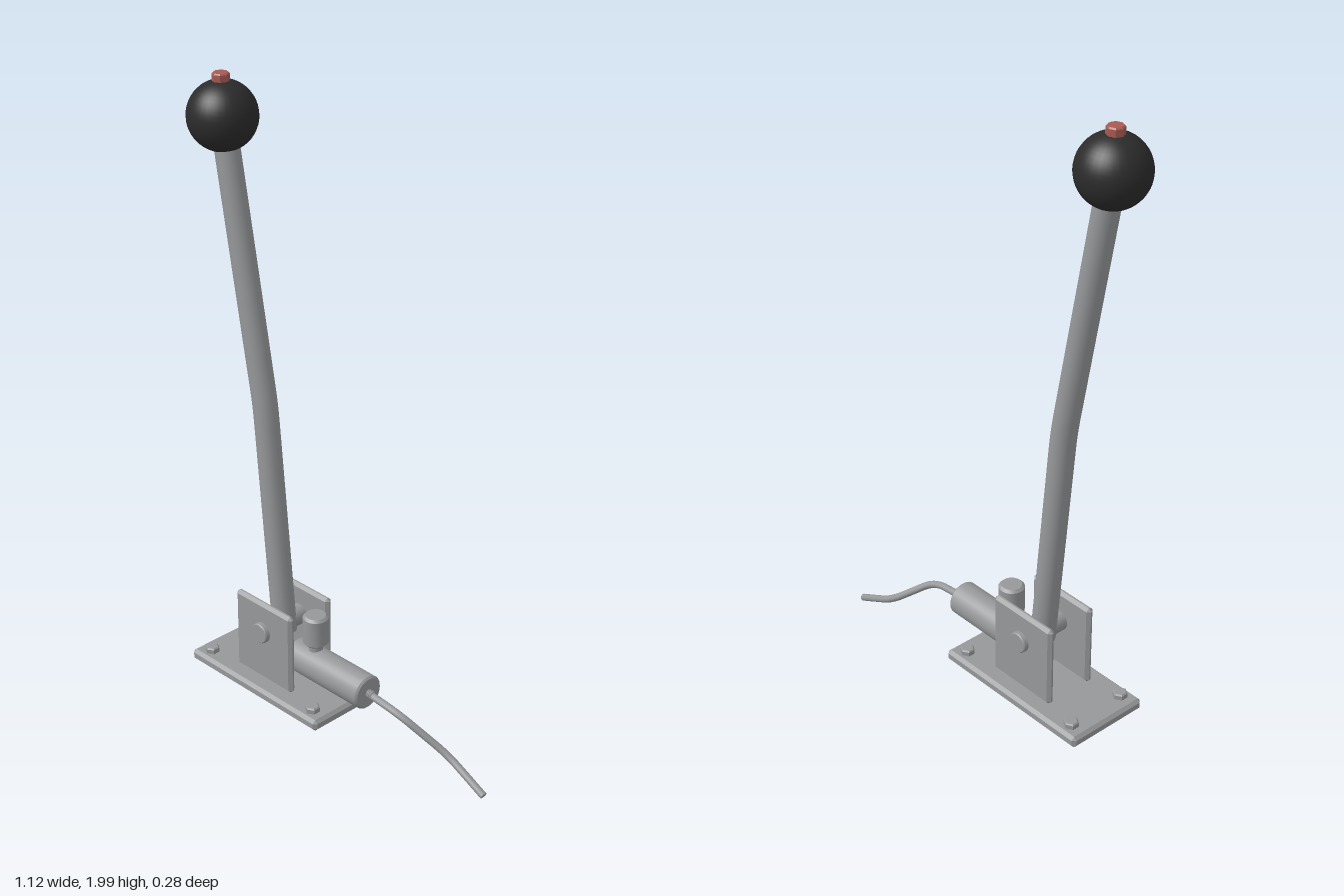
import * as THREE from 'three';
import { toCreasedNormals } from 'three/addons/utils/BufferGeometryUtils.js';
import { ConvexGeometry } from 'three/addons/geometries/ConvexGeometry.js';

const steel = new THREE.MeshStandardMaterial({ name: 'steel grey', color: 0x96989a });
const black = new THREE.MeshStandardMaterial({ name: 'knob black', color: 0x2b2b2b });
const red = new THREE.MeshStandardMaterial({ name: 'button red', color: 0xa85a52 });

// Box with every edge chamfered by c
function chamferBox(w, h, d, c) {
  const points = [];
  for (const sx of [-1, 1]) for (const sy of [-1, 1]) for (const sz of [-1, 1]) {
    const x = w / 2, y = h / 2, z = d / 2;
    points.push(
      new THREE.Vector3(sx * x, sy * (y - c), sz * (z - c)),
      new THREE.Vector3(sx * (x - c), sy * y, sz * (z - c)),
      new THREE.Vector3(sx * (x - c), sy * (y - c), sz * z));
  }
  return new ConvexGeometry(points);
}

// Upright cylinder with chamfered rims, centred on its middle
function chamferCylinder(r, h, c, sides) {
  const profile = [[0, -h / 2], [r - c, -h / 2], [r, -h / 2 + c], [r, h / 2 - c], [r - c, h / 2], [0, h / 2]]
    .map(([x, y]) => new THREE.Vector2(x, y));
  return toCreasedNormals(new THREE.LatheGeometry(profile, sides), sides < 10 ? 0.3 : 0.6);
}

// Path of straight runs joined by short rounded bends
function bentPath(points, bend) {
  const p = points.map(a => new THREE.Vector3(...a));
  const path = new THREE.CurvePath();
  let start = p[0];
  for (let i = 1; i < p.length - 1; i++) {
    const before = p[i].clone().add(p[i - 1].clone().sub(p[i]).setLength(bend));
    const after = p[i].clone().add(p[i + 1].clone().sub(p[i]).setLength(bend));
    path.add(new THREE.LineCurve3(start, before));
    path.add(new THREE.QuadraticBezierCurve3(before, p[i], after));
    start = after;
  }
  path.add(new THREE.LineCurve3(start, p[p.length - 1]));
  return path;
}

export function createModel() {
  const model = new THREE.Group();
  model.name = 'handbrakeLever';

  const add = (name, geometry, material, x = 0, y = 0, z = 0) => {
    const mesh = new THREE.Mesh(geometry, material);
    mesh.name = name;
    mesh.position.set(x, y, z);
    model.add(mesh);
    return mesh;
  };

  // Base plate with four hex bolts
  add('basePlate', chamferBox(0.565, 0.038, 0.28, 0.01), steel, -0.228, 0.109, 0);
  for (const x of [-0.457, 0.002]) for (const z of [-0.1, 0.1])
    add('baseBolt', chamferCylinder(0.023, 0.03, 0.004, 6), steel, x, 0.131, z);

  // Upright brackets and the pivot pin through them
  for (const z of [-0.078, 0.078])
    add('sideBracket', chamferBox(0.245, 0.272, 0.025, 0.01), steel, -0.228, 0.263, z);
  add('pivotPin', chamferCylinder(0.033, 0.214, 0.003, 16), steel, -0.228, 0.3, 0).rotation.x = Math.PI / 2;

  // Lever tube, bent halfway up, with closed foot
  const lever = bentPath([[-0.226, 0.27, 0], [-0.298, 1.02, 0], [-0.455, 1.86, 0]], 0.05);
  add('leverTube', new THREE.TubeGeometry(lever, 40, 0.038, 16, false), steel);
  const foot = add('leverFoot', new THREE.CircleGeometry(0.038, 16), steel, -0.226, 0.27, 0);
  foot.lookAt(-0.154, -0.48, 0);

  // Ball knob and push button
  add('knob', new THREE.SphereGeometry(0.104, 32, 24), black, -0.457, 1.875, 0);
  add('button', chamferCylinder(0.026, 0.05, 0.004, 8), red, -0.46, 1.975, 0);

  // Master cylinder with reservoir on a short neck
  add('masterCylinder', chamferCylinder(0.054, 0.31, 0.006, 24), steel, -0.014, 0.212, 0).rotation.z = -Math.PI / 2;
  add('reservoirNeck', new THREE.CylinderGeometry(0.022, 0.022, 0.05, 12), steel, -0.087, 0.27, 0);
  add('reservoir', chamferCylinder(0.04, 0.102, 0.008, 20), steel, -0.087, 0.335, 0);

  // Ribbed hose fitting
  for (let i = 0; i < 3; i++)
    add('hoseFitting', chamferCylinder(0.013, 0.007, 0.002, 12), steel, 0.143 + i * 0.007, 0.212, 0).rotation.z = Math.PI / 2;

  // Flexible hose and its end cap
  const hose = bentPath([[0.14, 0.211, 0], [0.27, 0.198, 0], [0.405, 0.087, -0.07], [0.551, 0.016, -0.07]], 0.05);
  add('hose', new THREE.TubeGeometry(hose, 48, 0.0115, 10, false), steel);
  const cap = add('hoseEnd', new THREE.CircleGeometry(0.0115, 10), steel, 0.551, 0.016, -0.07);
  cap.lookAt(0.697, -0.055, -0.07);

  return model;
}
